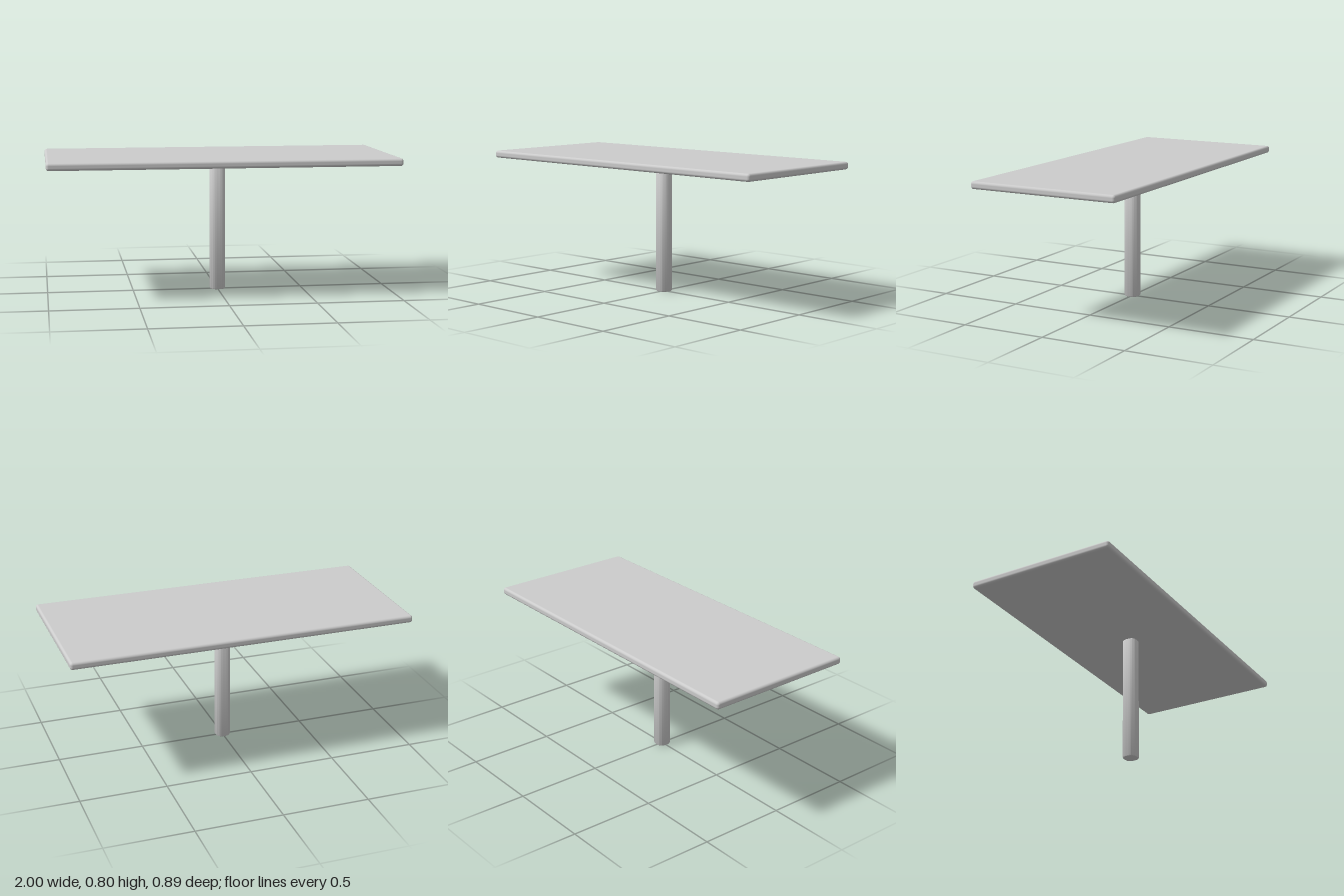
import * as THREE from 'three';
import { RoundedBoxGeometry } from 'three/addons/geometries/RoundedBoxGeometry.js';
import { toCreasedNormals } from 'three/addons/utils/BufferGeometryUtils.js';

// Square of half-width h with corners rounded by radius r
function roundedSquare(h, r) {
  const s = new THREE.Shape();
  const c = h - r;
  s.absarc(c, c, r, 0, Math.PI / 2);
  s.absarc(-c, c, r, Math.PI / 2, Math.PI);
  s.absarc(-c, -c, r, Math.PI, Math.PI * 1.5);
  s.absarc(c, -c, r, Math.PI * 1.5, Math.PI * 2);
  s.closePath();
  return s;
}

export function createModel() {
  const group = new THREE.Group();
  const material = new THREE.MeshStandardMaterial({ color: 0xcccccc });

  // Thin table top with softly rounded edges
  const bottom = 0.76, top = 0.803;
  const tableTop = new THREE.Mesh(new RoundedBoxGeometry(2, top - bottom, 0.886, 5, 0.015), material);
  tableTop.name = 'tableTop';
  tableTop.position.y = (top + bottom) / 2;
  group.add(tableTop);

  // Single central post, nearly round, with eased ends
  const bevel = 0.008;
  const postGeometry = new THREE.ExtrudeGeometry(roundedSquare(0.044 - bevel, 0.028), {
    depth: bottom - 2 * bevel,
    bevelThickness: bevel,
    bevelSize: bevel,
    bevelSegments: 4,
    curveSegments: 8,
  });
  postGeometry.translate(0, 0, bevel).rotateX(-Math.PI / 2);
  const post = new THREE.Mesh(toCreasedNormals(postGeometry, 0.7), material);
  post.name = 'post';
  group.add(post);

  return group;
}
